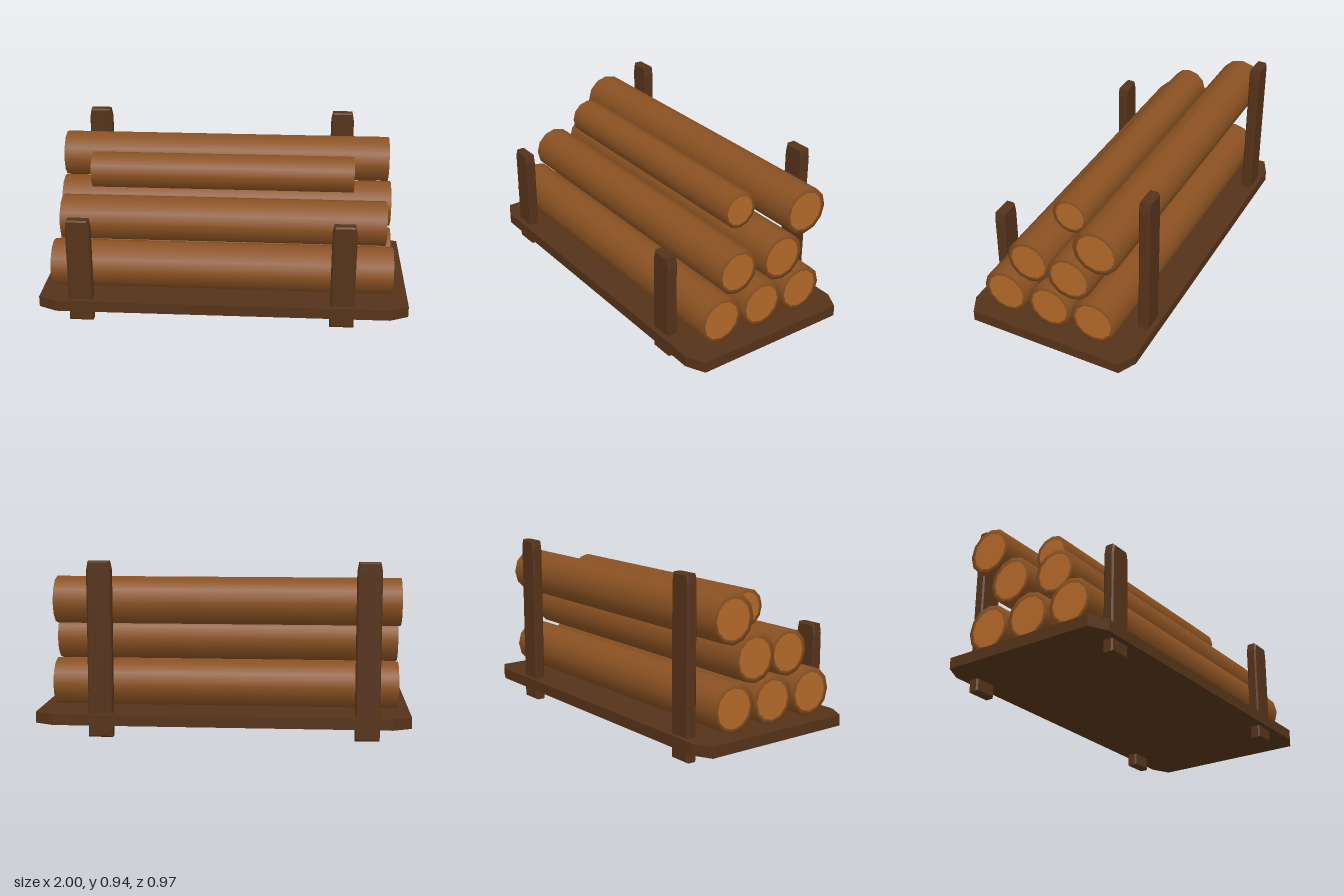
import * as THREE from 'three';

const bark = new THREE.MeshStandardMaterial({ color: 0x8a5122 });
const cutWood = new THREE.MeshStandardMaterial({ color: 0xb56a29 });
const darkWood = new THREE.MeshStandardMaterial({ color: 0x553319, flatShading: true });

function addMesh(parent, name, geometry, material) {
  const mesh = new THREE.Mesh(geometry, material);
  mesh.name = name;
  parent.add(mesh);
  return mesh;
}

function polygon(points) {
  return new THREE.Shape(points.map(([x, y]) => new THREE.Vector2(x, y)));
}

// Twelve-sided log along x: bark wraps over the rim, pale cut discs fill the ends
function makeLog(x0, x1, y, z, r) {
  const log = new THREE.Group();
  log.name = 'log';
  const inner = r * 0.81;
  const profile = [[inner, x0], [r, x0], [r, x1], [inner, x1]].map(([a, b]) => new THREE.Vector2(a, b));
  addMesh(log, 'logBark', new THREE.LatheGeometry(profile, 12).rotateZ(-Math.PI / 2), bark);
  for (const [x, side] of [[x0, -1], [x1, 1]]) {
    const disc = new THREE.CircleGeometry(inner, 12).rotateY(side * Math.PI / 2);
    addMesh(log, 'logEnd', disc, cutWood).position.x = x;
  }
  log.position.set(0, y, z);
  return log;
}

// Upright post with bevelled edges and a slightly narrowed top
function makePost(name, height) {
  const b = 0.008, w = 0.065 - b, depth = 0.058;
  const shape = polygon([[-w, b], [w, b], [w, height - 0.05], [w - 0.008, height - b],
    [-w + 0.008, height - b], [-w, height - 0.05]]);
  const geometry = new THREE.ExtrudeGeometry(shape, {
    depth: depth - 2 * b, bevelEnabled: true, bevelSize: b, bevelThickness: b, bevelSegments: 1,
  }).translate(0, 0, b - depth / 2);
  const post = new THREE.Mesh(geometry, darkWood);
  post.name = name;
  return post;
}

export function createModel() {
  const model = new THREE.Group();
  model.name = 'logRack';

  // Base board with clipped corners
  const board = polygon([[-1, -0.433], [-0.9, -0.483], [0.9, -0.483], [1, -0.433],
    [1, 0.433], [0.9, 0.483], [-0.9, 0.483], [-1, 0.433]]);
  const boardGeometry = new THREE.ExtrudeGeometry(board, { depth: 0.06, bevelEnabled: false })
    .rotateX(-Math.PI / 2);
  addMesh(model, 'baseBoard', boardGeometry, darkWood).position.y = 0.068;

  // Short posts in front, tall posts behind
  for (const x of [-0.768, 0.645]) {
    const front = makePost('frontPost', 0.585);
    front.position.set(x, 0, 0.424);
    const back = makePost('backPost', 0.94);
    back.position.set(x, 0, -0.427);
    model.add(front, back);
  }

  // Stacked logs: x start, x end, height, z, radius
  const logs = [
    [-0.935, 0.915, 0.267, 0.272, 0.128],
    [-0.935, 0.915, 0.267, 0.01, 0.128],
    [-0.935, 0.915, 0.267, -0.246, 0.128],
    [-0.9, 0.878, 0.487, 0.145, 0.123],
    [-0.935, 0.915, 0.503, -0.114, 0.128],
    [-0.75, 0.7, 0.712, -0.005, 0.1],
    [-0.942, 0.905, 0.717, -0.264, 0.128],
  ];
  for (const log of logs) model.add(makeLog(...log));

  return model;
}
